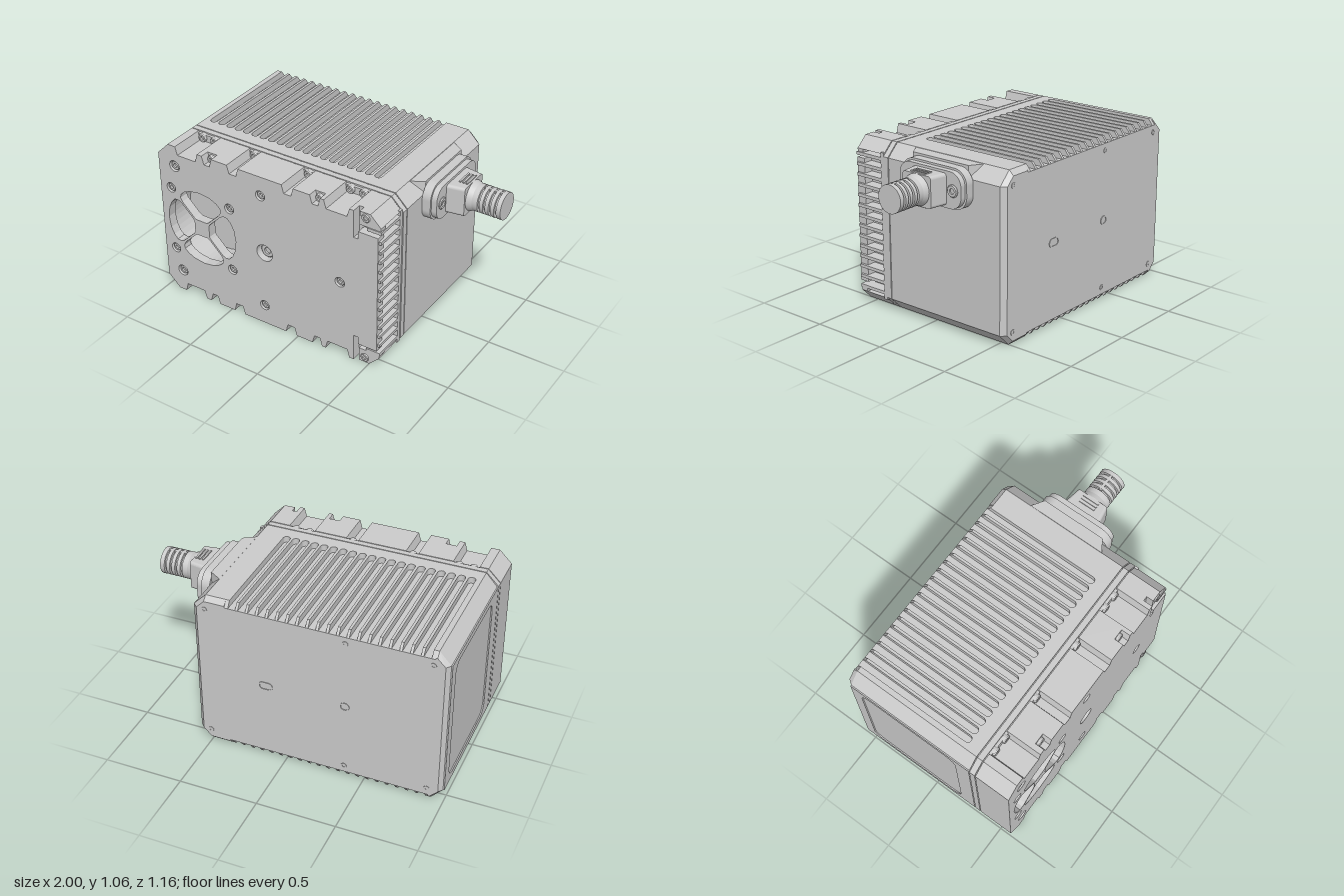
import * as THREE from 'three';

const H = 1.06;
const grey = new THREE.MeshStandardMaterial({ color: 0xcccccc });
const V = (x, y) => new THREE.Vector2(x, y);
const poly = pts => new THREE.Shape(pts.map(p => V(p[0], p[1])));

// extrude an x-y shape between two z levels
function slab(shape, z0, z1, curveSegments = 10) {
  return new THREE.ExtrudeGeometry(shape, { depth: z1 - z0, bevelEnabled: false, curveSegments }).translate(0, 0, z0);
}

// outline of the case: rectangle with cut corners
function octagon(x0, x1, y0, y1, c) {
  return poly([[x0 + c, y0], [x1 - c, y0], [x1, y0 + c], [x1, y1 - c], [x1 - c, y1], [x0 + c, y1], [x0, y1 - c], [x0, y0 + c]]);
}

function roundRect(cx, cy, w, h, r, Type = THREE.Shape) {
  const s = new Type(), a = w / 2 - r, b = h / 2 - r;
  s.absarc(cx + a, cy - b, r, -Math.PI / 2, 0);
  s.absarc(cx + a, cy + b, r, 0, Math.PI / 2);
  s.absarc(cx - a, cy + b, r, Math.PI / 2, Math.PI);
  s.absarc(cx - a, cy - b, r, Math.PI, Math.PI * 1.5);
  s.closePath();
  return s;
}

const circleHole = (x, y, r) => new THREE.Path().absarc(x, y, r, 0, Math.PI * 2, true);

export function createModel() {
  const model = new THREE.Group();
  const add = (name, geo, parent = model) => {
    const m = new THREE.Mesh(geo, grey);
    m.name = name;
    parent.add(m);
    return m;
  };
  const box = (name, x0, x1, y0, y1, z0, z1) =>
    add(name, new THREE.BoxGeometry(x1 - x0, y1 - y0, z1 - z0).translate((x0 + x1) / 2, (y0 + y1) / 2, (z0 + z1) / 2));
  // screw head with a socket, facing along z (dir = 1 or -1)
  const screw = (name, x, y, z, r, dir = 1) => {
    const pts = [V(0, -0.012), V(r * 0.45, -0.012), V(r * 0.45, 0), V(r * 0.85, 0), V(r, -0.006), V(r, -0.03)].reverse();
    const m = add(name, new THREE.LatheGeometry(pts, 16).toNonIndexed().rotateX(dir * Math.PI / 2));
    m.geometry.computeVertexNormals();
    m.position.set(x, y, z);
    return m;
  };

  // rear case, with shallow beds for the rib plates
  const xc = -0.27, hw = 0.64, bed = 0.04, L = -0.992;
  const caseShape = poly([[-0.92, 0], [xc - hw, 0], [xc - hw, bed], [xc + hw, bed], [xc + hw, 0], [0.5, 0],
    [0.58, 0.08], [0.58, H - 0.08], [0.5, H], [xc + hw, H], [xc + hw, H - bed], [xc - hw, H - bed],
    [xc - hw, H], [-0.92, H], [L, H - 0.08], [L, 0.08]]);
  add('rearCase', slab(caseShape, -0.55, 0.3));
  // chamfered back edge
  const backGeo = slab(caseShape, -0.58, -0.55), bp = backGeo.attributes.position;
  for (let i = 0; i < bp.count; i++) {
    if (bp.getZ(i) > -0.57) continue;
    bp.setX(i, Math.min(0.55, Math.max(-0.97, bp.getX(i))));
    bp.setY(i, Math.min(H - 0.03, Math.max(0.03, bp.getY(i))));
  }
  backGeo.computeVertexNormals();
  add('backPlate', backGeo);

  // ribbed cooling plates: comb outline with round groove ends, open at the back
  const ribs = new THREE.Shape(), pitch = 0.0625, gr = 0.023, n = 20;
  ribs.moveTo(-hw, 0.58);
  ribs.lineTo(-hw, -0.3);
  ribs.lineTo(hw, -0.3);
  ribs.lineTo(hw, 0.58);
  for (let i = n - 1; i >= 0; i--) {
    const x = (i - (n - 1) / 2) * pitch;
    ribs.lineTo(x + gr, 0.58);
    ribs.absarc(x, -0.22 + gr, gr, 0, -Math.PI, true);
    ribs.lineTo(x - gr, 0.58);
  }
  ribs.closePath();
  const ribGeo = slab(ribs, H / 2 - bed, H / 2, 6).rotateX(-Math.PI / 2), rp = ribGeo.attributes.position;
  for (let i = 0; i < rp.count; i++)
    if (rp.getZ(i) < -0.57 && rp.getY(i) > H / 2 - 0.01) rp.setZ(i, -0.55);
  ribGeo.computeVertexNormals();
  ['topRibs', 'bottomRibs'].forEach((name, i) => {
    const m = add(name, ribGeo);
    m.position.set(xc, H / 2, 0);
    m.rotation.z = i * Math.PI;
  });

  // frame around the recessed panel on the right-hand wall
  const frame = poly([[-0.3, 0.08], [0.55, 0.08], [0.55, H - 0.08], [-0.3, H - 0.08]]);
  frame.holes.push(roundRect(0.14, H / 2, 0.68, 0.82, 0.07, THREE.Path));
  add('sidePanelFrame', slab(frame, 0, 0.008).rotateY(-Math.PI / 2).scale(1, 1, 1).rotateY(Math.PI)
    .rotateY(Math.PI).translate(L, 0, 0).applyMatrix4(new THREE.Matrix4().makeTranslation(0, 0, 0)));
  const fp = model.getObjectByName('sidePanelFrame');
  fp.geometry = slab(frame, 0, 0.008).rotateY(-Math.PI / 2);
  fp.rotation.y = 0;
  fp.position.set(L, 0, 0);
  // the outline runs along +z after turning, so turn it end for end about the panel's own axis
  fp.rotation.x = Math.PI;
  fp.position.y = H;

  // back screws and mounting slots
  for (const x of [-0.9, -0.38, 0.5]) for (const y of [0.085, H - 0.085]) screw('backScrew', x, y, -0.582, 0.02, -1);
  for (const [x, w] of [[0.12, 0.09], [-0.38, 0.06]]) {
    const slot = roundRect(x, H / 2, w, 0.055, 0.027);
    slot.holes.push(roundRect(x, H / 2, w - 0.014, 0.041, 0.02, THREE.Path));
    add('mountSlotRim', slab(slot, -0.584, -0.57));
  }

  // seam band with a fine groove on both sides
  add('seamCore', slab(octagon(-0.99, 0.57, 0.01, H - 0.01, 0.078), 0.29, 0.36));
  add('seamBand', slab(octagon(-1, 0.58, 0, H, 0.08), 0.306, 0.342));

  // front cover outline, notched along top and bottom
  const wide = [[-0.865, -0.7], [-0.48, -0.4], [-0.09, -0.01], [0.2, 0.37]];
  const small = [[-0.665, -0.595], [0.105, 0.175]];
  const cover = (notches, end) => {
    const low = [[-1, 0.08], [-0.92, 0]];
    for (const [a, b] of [...notches].sort((p, q) => p[0] - q[0]))
      low.push([a, 0], [a + 0.015, 0.055], [b - 0.015, 0.055], [b, 0]);
    low.push(...end);
    return poly([...low, ...low.map(([x, y]) => [x, H - y]).reverse()]);
  };
  const fan = { x: -0.7, y: H / 2 };
  const mid = cover(wide, [[0.5, 0], [0.57, 0.07], [0.5, 0.07]]);
  mid.holes.push(circleHole(fan.x, fan.y, 0.265));
  add('frontCover', slab(mid, 0.348, 0.52, 24));

  // front plate with fan openings and screw holes
  const plate = cover([...wide, ...small], [[0.4, 0], [0.4, 0.18], [0.43, 0.18], [0.43, 0.13], [0.56, 0.13]]);
  for (let k = 0; k < 4; k++) {
    const c = Math.cos(k * Math.PI / 2), s = Math.sin(k * Math.PI / 2);
    const lobe = [[0.04, 0.055], [0.055, 0.065], [0.14, 0.15], [0.152, 0.175], [0.148, 0.2], [0.12, 0.225], [0.075, 0.246], [0, 0.257]];
    const pts = [...lobe, ...lobe.slice(0, -1).map(([x, y]) => [-x, y]).reverse()];
    plate.holes.push(new THREE.Path(pts.map(([x, y]) => V(fan.x + x * c - y * s, fan.y + x * s + y * c))));
  }
  const holes = [[-0.88, 0.92, 0.037], [-0.88, 0.15, 0.037], [-0.245, 0.93, 0.033], [-0.245, 0.135, 0.033],
    [-0.23, 0.53, 0.057], [0.305, 0.53, 0.033]];
  for (const x of [-0.92, -0.48]) for (const y of [0.31, 0.755]) holes.push([x, y, 0.033]);
  for (const [x, y, r] of holes) {
    plate.holes.push(circleHole(x, y, r));
    screw('frontScrew', x, y, x === -0.23 ? 0.55 : 0.572, r * 0.85);
  }
  add('frontPlate', slab(plate, 0.52, 0.58, 16));

  // corner feet and edge screws, mirrored top and bottom
  for (const up of [false, true]) {
    const fy = y => (up ? H - y : y);
    const foot = [[0.43, 0], [0.5, 0], [0.57, 0.07], [0.57, 0.09], [0.43, 0.09]].map(([x, y]) => [x, fy(y)]);
    add('cornerFoot', slab(poly(up ? foot.reverse() : foot), 0.52, 0.565));
    screw('cornerScrew', 0.47, fy(0.035), 0.572, 0.028);
    for (const x of [-0.825, -0.735, -0.44, -0.05, 0.24, 0.33]) screw('edgeScrew', x, fy(0.03), 0.375, 0.028);
    for (const x of [-0.63, 0.14]) screw('edgeScrew', x, fy(0.035), 0.54, 0.026);
  }

  // vent fins on the left side wall
  for (let i = 0; i < 14; i++) {
    const y = H / 2 + (i - 6.5) * 0.066;
    box('ventFin', 0.48, 0.575, y - 0.01, y + 0.01, 0.345, 0.57);
  }
  box('ventSill', 0.48, 0.575, 0.06, H - 0.06, 0.345, 0.37);

  // pad that carries the connector across the case corner
  const pad = poly([[0.48, -0.15], [0.5, -0.15], [0.58, -0.1], [0.58, 0.32], [0.5, 0.37], [0.48, 0.37]]);
  add('connectorPad', slab(pad, 0.86, 1.058).rotateX(-Math.PI / 2));

  // connector: built facing +z, then turned to face +x
  const plug = new THREE.Group();
  plug.name = 'connector';
  plug.position.set(0.58, 0.922, -0.11);
  plug.rotation.y = Math.PI / 2;
  model.add(plug);
  const flange = (w, h, r, z0, z1) => slab(roundRect(0, 0, w, h, r), z0, z1);
  add('flangeBase', flange(0.49, 0.245, 0.09, 0, 0.055), plug);
  add('flangeStep', flange(0.465, 0.22, 0.08, 0.055, 0.09), plug);
  for (const x of [-0.172, 0.172]) {
    const s = screw('flangeScrew', x, 0, 0.1, 0.038);
    plug.add(s);
  }
  const neck = flange(0.25, 0.19, 0.02, 0.09, 0.2), np = neck.attributes.position;
  for (let i = 0; i < np.count; i++) if (np.getZ(i) > 0.19) np.setX(i, np.getX(i) * 0.85);
  neck.computeVertexNormals();
  add('plugNeck', neck, plug);
  for (const y of [-0.096, 0.096]) for (let i = -1; i <= 1; i++)
    add('gripRidge', new THREE.BoxGeometry(0.11, 0.012, 0.012).translate(0, y, 0.16 + i * 0.022), plug);

  // ringed strain relief ending in the cable stub
  const relief = [[0, 0.19], [0.095, 0.19], [0.095, 0.205], [0.085, 0.235], [0.085, 0.27]];
  for (let i = 0; i < 4; i++) {
    const z = 0.27 + i * 0.036;
    relief.push([0.068, z], [0.068, z + 0.014], [0.085, z + 0.014], [0.085, z + 0.036]);
  }
  relief.push([0.085, 0.42], [0, 0.42]);
  // corner points are doubled so the ring edges stay crisp
  const sharp = relief.flatMap(([r, z]) => [V(r, z), V(r, z)]);
  add('strainRelief', new THREE.LatheGeometry(sharp, 32).rotateX(Math.PI / 2), plug);
  for (const s of [-1, 1])
    add('reliefSpine', new THREE.BoxGeometry(0.018, 0.03, 0.14).translate(0, s * 0.068, 0.345), plug);

  return model;
}
